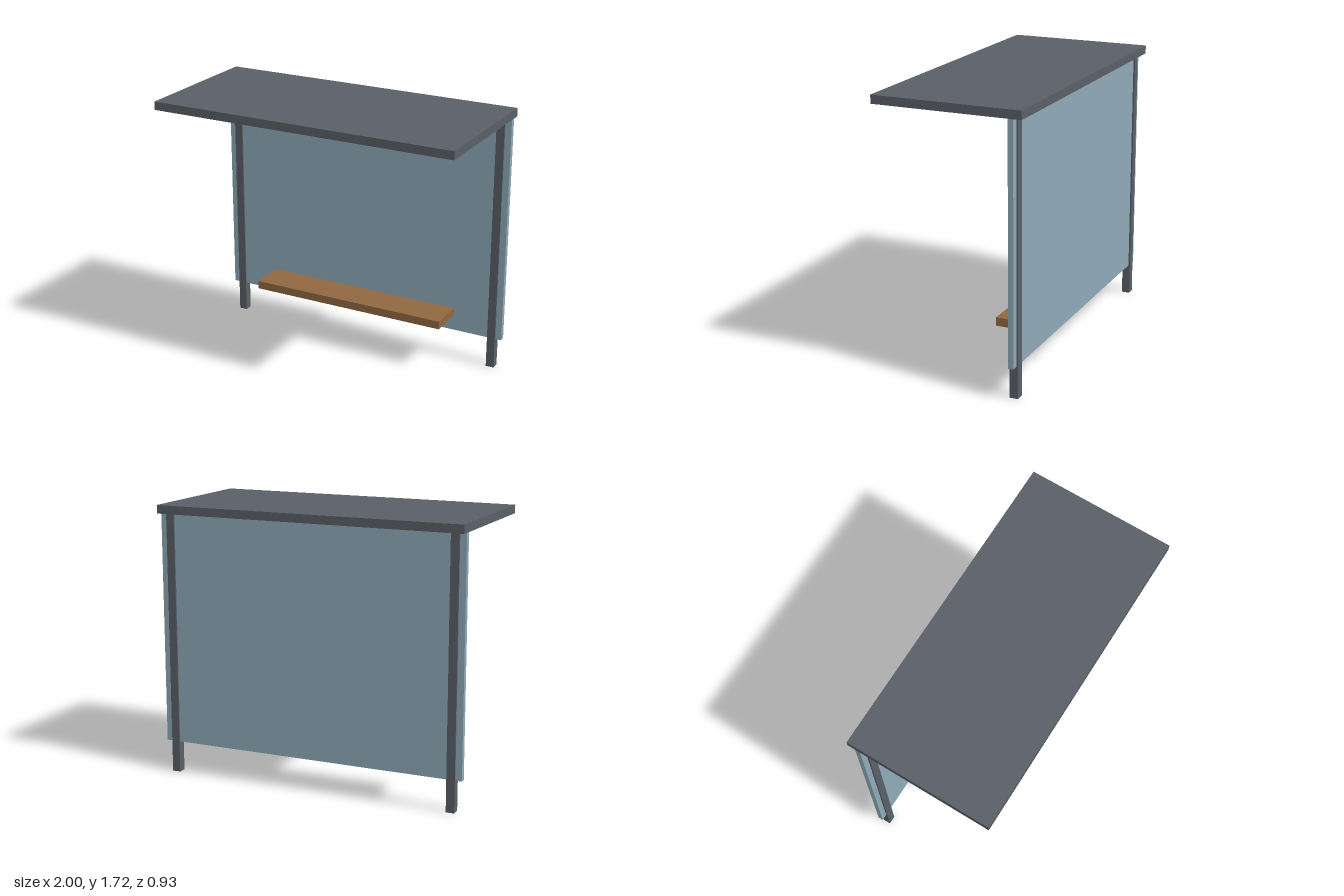
import * as THREE from 'three';

const material = (name, color) => {
  const m = new THREE.MeshStandardMaterial({ color });
  m.name = name;
  return m;
};

// Box given by its size and the position of its bottom centre
function box(name, mat, [w, h, d], [x, y, z]) {
  const mesh = new THREE.Mesh(new THREE.BoxGeometry(w, h, d), mat);
  mesh.name = name;
  mesh.position.set(x, y + h / 2, z);
  return mesh;
}

export function createModel() {
  const metal = material('dark grey metal', 0x5a5f67);
  const glass = material('blue glass', 0x8fabb9);
  const wood = material('brown wood', 0x906841);

  const shelter = new THREE.Group();
  shelter.name = 'shelter';
  const backZ = -0.4;
  const postHeight = 1.667;

  // Flat roof reaching forward over the bench
  shelter.add(box('roof', metal, [2, 0.053, 0.933], [0, postHeight, 0]));

  // Posts, slightly thicker than the panel they carry
  for (const [name, side] of [['leftPost', 1], ['rightPost', -1]]) {
    shelter.add(box(name, metal, [0.053, postHeight, 0.053], [side * 0.933, 0, backZ]));
  }

  // Rear panel, raised off the ground
  shelter.add(box('backPanel', glass, [2, postHeight - 0.2, 0.033], [0, 0.2, backZ]));

  // Bench fixed to the front of the panel
  shelter.add(box('bench', wood, [1.333, 0.053, 0.233], [0, 0.3, -0.267]));

  return shelter;
}
